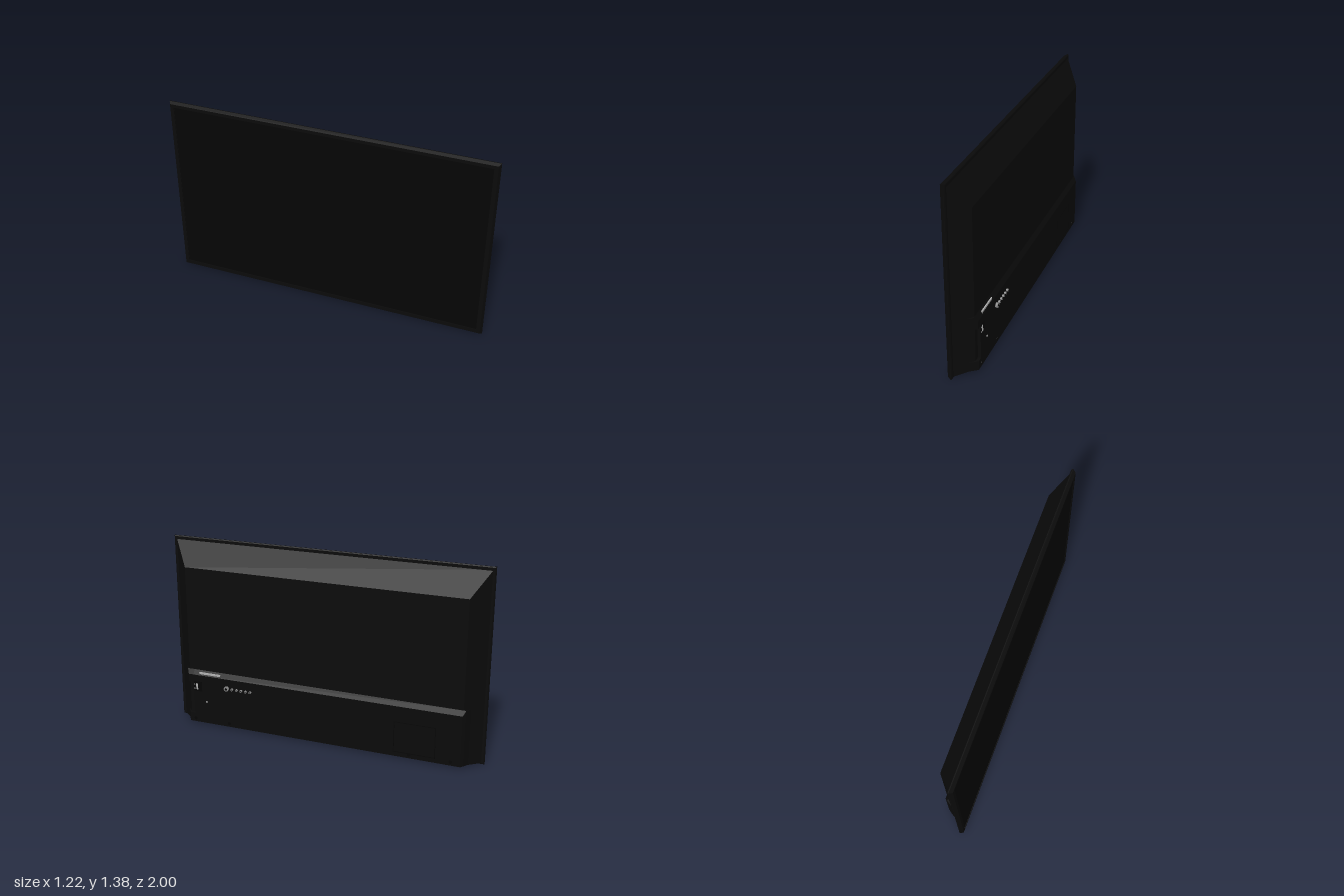
import * as THREE from 'three';

const paint = (color) => new THREE.MeshStandardMaterial({ color, flatShading: true });
const black = paint(0x0a0a0a), dark = paint(0x050505), grey = paint(0x888888), silver = paint(0xb0b0b0);

// Capped loft through rectangles [x0, x1, y0, y1, z], listed from back to front
function loft(rings) {
  const pos = [];
  const corners = rings.map(([x0, x1, y0, y1, z]) => [[x0, y0, z], [x1, y0, z], [x1, y1, z], [x0, y1, z]]);
  const quad = (a, b, c, d) => pos.push(...a, ...b, ...c, ...a, ...c, ...d);
  const first = corners[0], last = corners[corners.length - 1];
  quad(first[3], first[2], first[1], first[0]);
  for (let r = 0; r < corners.length - 1; r++) {
    for (let i = 0; i < 4; i++) {
      const j = (i + 1) % 4;
      quad(corners[r][i], corners[r][j], corners[r + 1][j], corners[r + 1][i]);
    }
  }
  quad(...last);
  const geo = new THREE.BufferGeometry();
  geo.setAttribute('position', new THREE.Float32BufferAttribute(pos, 3));
  geo.computeVertexNormals();
  return geo;
}

export function createModel() {
  const model = new THREE.Group();
  model.name = 'flatScreen';
  const set = new THREE.Group();
  set.name = 'turnedSet';
  set.rotation.y = -Math.PI / 3;
  set.position.set(-0.005, 0, -0.0087);
  model.add(set);

  const add = (name, geo, mat, x = 0, y = 0, z = 0) => {
    const mesh = new THREE.Mesh(geo, mat);
    mesh.name = name;
    mesh.position.set(x, y, z);
    set.add(mesh);
    return mesh;
  };
  const box = (name, mat, w, h, d, x, y, z) => add(name, new THREE.BoxGeometry(w, h, d), mat, x, y, z);
  const knob = (name, mat, r, depth, x, y, z) =>
    add(name, new THREE.CylinderGeometry(r, r, depth, 16).rotateX(Math.PI / 2), mat, x, y, z);

  // Bezel with chamfered rim and a slightly sunken centre
  add('bezel', loft([
    [-1.145, 1.145, 0.006, 1.369, 0.008],
    [-1.153, 1.153, 0, 1.375, 0.014],
    [-1.153, 1.153, 0, 1.375, 0.02],
    [-1.14, 1.14, 0.012, 1.363, 0.042],
    [-1.115, 1.115, 0.04, 1.34, 0.042],
    [-1.115, 1.115, 0.04, 1.34, 0.037],
  ]), black);
  box('screen', dark, 2.225, 1.295, 0.002, 0, 0.69, 0.0375);

  // Back housing, sloping in at the top and both sides
  add('backHousing', loft([
    [-1.018, 1.018, 0.016, 1.18, -0.098],
    [-1.135, 1.135, 0.01, 1.355, 0.012],
  ]), black);

  // Thicker lower housing, notched at the connector corner
  add('lowerHousing', loft([
    [-1.018, 0.98, 0.016, 0.385, -0.119],
    [-1.035, 0.98, 0.016, 0.42, -0.098],
    [-1.06, 0.98, 0.016, 0.42, -0.06],
  ]), black);
  add('notchTop', loft([
    [0.98, 1.018, 0.33, 0.385, -0.119],
    [0.98, 1.035, 0.33, 0.42, -0.098],
    [0.98, 1.06, 0.33, 0.42, -0.06],
  ]), black);
  add('notchBottom', loft([
    [0.98, 1.018, 0.016, 0.083, -0.119],
    [0.98, 1.06, 0.016, 0.083, -0.06],
  ]), black);

  // Silver strip along the step
  box('silverStrip', silver, 0.168, 0.016, 0.034, 0.85, 0.399, -0.097);

  // Row of round sockets
  const back = -0.119;
  knob('largeSocket', grey, 0.018, 0.03, 0.711, 0.315, back);
  knob('largeSocketCore', dark, 0.009, 0.032, 0.711, 0.315, back);
  for (let i = 0; i < 5; i++) {
    const x = 0.668 - i * 0.036;
    knob('smallSocket', grey, 0.009, 0.026, x, 0.315, back);
    knob('smallSocketCore', dark, 0.004, 0.028, x, 0.315, back);
  }
  knob('jack', grey, 0.007, 0.01, 0.878, 0.185, back);

  // Ports beside the notch
  box('portPlate', dark, 0.065, 0.075, 0.004, 0.946, 0.298, back);
  box('slotPort', silver, 0.015, 0.046, 0.008, 0.952, 0.297, back);
  for (const y of [0.28, 0.312]) box('smallPort', grey, 0.01, 0.009, 0.008, 0.973, y, back);

  // Access cover outlined by a thin raised rim
  for (const x of [-0.84, -0.55]) box('coverSide', dark, 0.006, 0.22, 0.004, x, 0.16, back);
  for (const y of [0.05, 0.27]) box('coverEdge', dark, 0.296, 0.006, 0.004, -0.695, y, back);

  // Screws along the bottom edge
  for (const x of [-0.95, -0.66, 0.7, 0.975]) knob('screw', dark, 0.012, 0.006, x, 0.042, back);

  return model;
}
